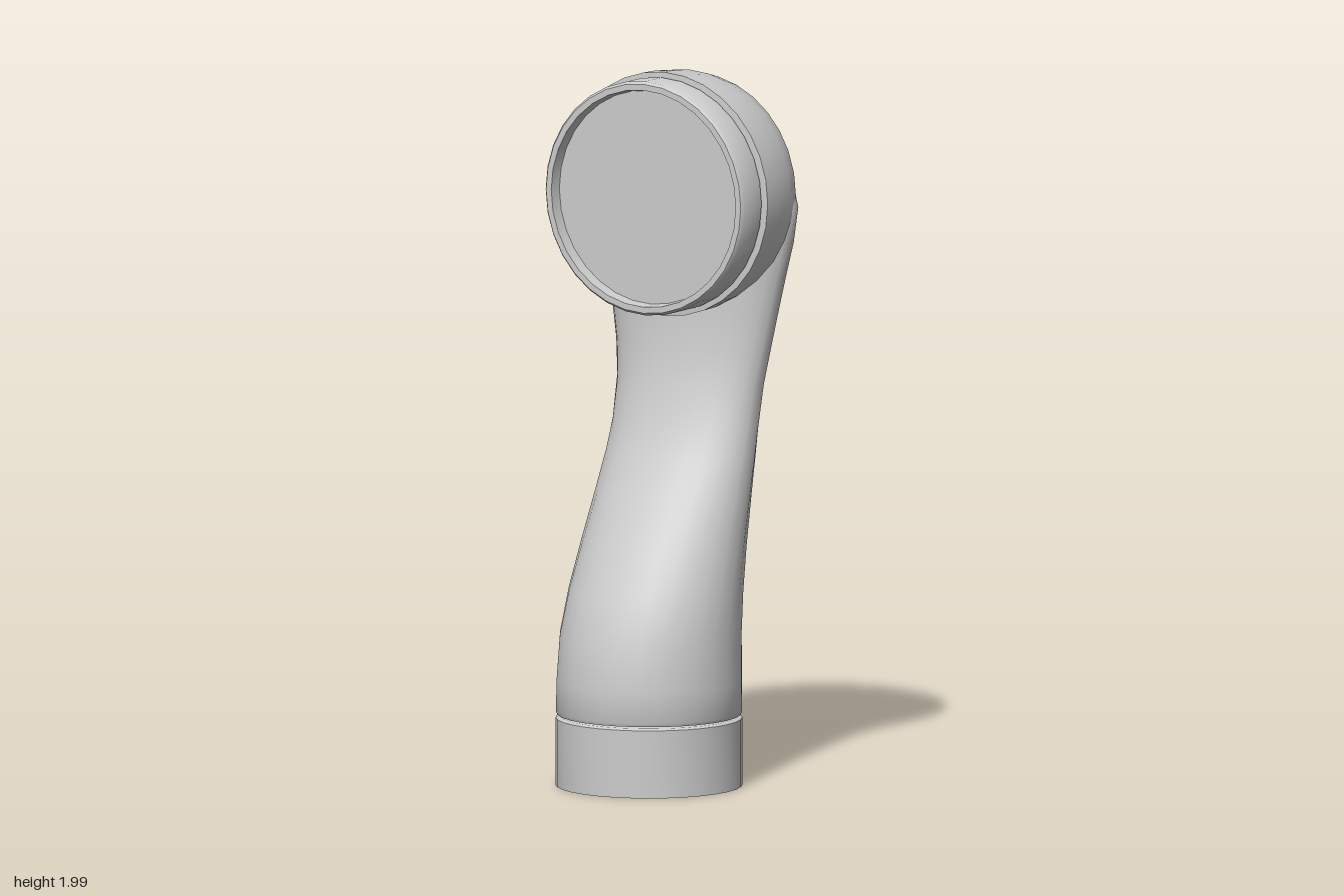
import * as THREE from 'three';
import { toCreasedNormals } from 'three/addons/utils/BufferGeometryUtils.js';

const mat = new THREE.MeshStandardMaterial({ color: 0xcccccc, side: THREE.DoubleSide });

function part(name, geometry) {
  const mesh = new THREE.Mesh(toCreasedNormals(geometry, 0.75), mat);
  mesh.name = name;
  return mesh;
}

function lathe(points) {
  return new THREE.LatheGeometry(points.map(([r, y]) => new THREE.Vector2(r, y)), 32);
}

// Loft of horizontal ellipses; each section is [y, half width, front z, back z]
function loft(sections, sides = 28) {
  const pos = [], index = [];
  sections.forEach(([y, w, front, back], j) => {
    for (let i = 0; i < sides; i++) {
      const a = (i / sides) * Math.PI * 2;
      pos.push(w * Math.cos(a), y, (front + back) / 2 + ((front - back) / 2) * Math.sin(a));
      if (j === 0) continue;
      const n = (i + 1) % sides, lo = (j - 1) * sides, hi = j * sides;
      index.push(lo + i, hi + i, lo + n, lo + n, hi + i, hi + n);
    }
  });
  const g = new THREE.BufferGeometry();
  g.setAttribute('position', new THREE.Float32BufferAttribute(pos, 3));
  g.setIndex(index);
  g.computeVertexNormals();
  return g;
}

export function createModel() {
  const group = new THREE.Group();

  // Base collar with a recess underneath
  const base = part('baseCollar', lathe([
    [0, 0.12], [0.235, 0.12], [0.24, 0.005], [0.26, 0.005], [0.26, 0.195], [0.25, 0.2], [0, 0.2],
  ]));
  base.position.z = 0.055;
  group.add(base);

  // Curved neck, ending inside the head
  group.add(part('neck', loft([
    [0.205, 0.001, 0.056, 0.054],
    [0.205, 0.256, 0.311, -0.201],
    [0.215, 0.26, 0.315, -0.205],
    [0.3, 0.259, 0.314, -0.205],
    [0.43, 0.255, 0.298, -0.206],
    [0.55, 0.249, 0.25, -0.211],
    [0.68, 0.241, 0.18, -0.224],
    [0.82, 0.234, 0.095, -0.24],
    [0.92, 0.23, 0.035, -0.251],
    [1.0, 0.228, -0.005, -0.259],
    [1.12, 0.232, -0.045, -0.271],
    [1.22, 0.247, -0.066, -0.281],
    [1.32, 0.266, -0.075, -0.289],
    [1.42, 0.287, -0.08, -0.297],
    [1.52, 0.311, -0.08, -0.304],
    [1.62, 0.325, -0.08, -0.308],
    [1.72, 0.3, -0.08, -0.306],
    [1.82, 0.24, -0.1, -0.28],
    [1.82, 0.001, -0.18, -0.181],
  ])));

  // Round head with softened back, facing forward
  const head = new THREE.Group();
  head.name = 'head';
  head.position.y = 1.656;
  head.rotation.x = Math.PI / 2;
  head.add(part('headShell', lathe([
    [0, -0.314], [0.1, -0.312], [0.18, -0.304], [0.235, -0.287], [0.285, -0.252],
    [0.318, -0.205], [0.334, -0.15], [0.341, -0.08], [0.343, -0.022], [0.318, -0.02], [0, -0.02],
  ])));

  // Front ring around a slightly sunken face
  head.add(part('frontRing', lathe([
    [0.31, -0.02], [0.329, -0.012], [0.329, 0.075], [0.322, 0.084], [0.305, 0.084], [0.3, 0.05],
  ])));
  head.add(part('facePlate', lathe([[0.3, 0.05], [0.15, 0.05], [0, 0.05]])));
  group.add(head);

  return group;
}
